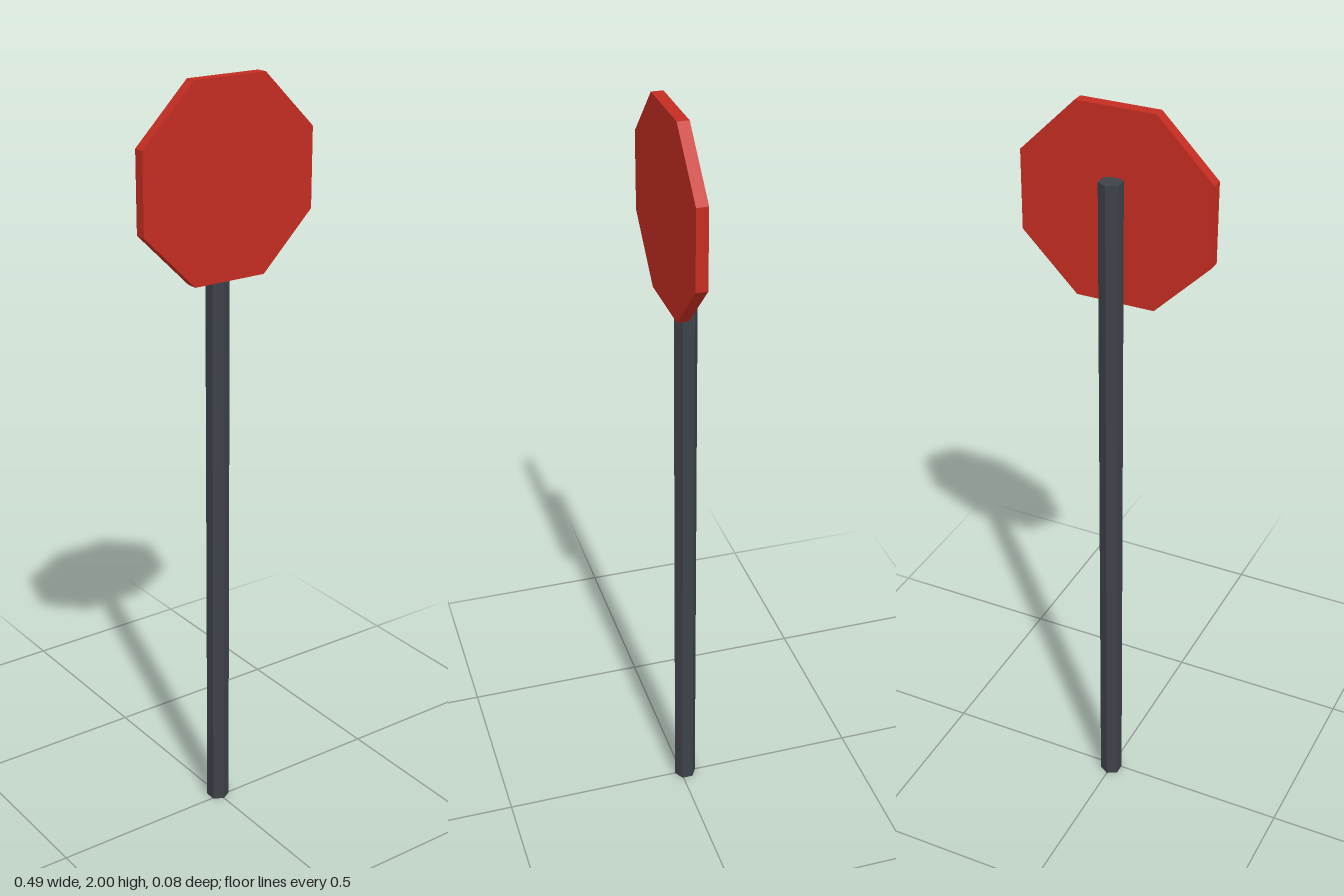
import * as THREE from 'three';

export function createModel() {
  const group = new THREE.Group();
  group.name = 'roadSign';

  const red = new THREE.MeshStandardMaterial({ color: 0xc42c22, flatShading: true });
  red.name = 'sign red';
  const grey = new THREE.MeshStandardMaterial({ color: 0x3d4249, flatShading: true });
  grey.name = 'post grey';

  // Hexagonal post, its front edge sunk into the plate
  const postHeight = 1.83;
  const post = new THREE.Mesh(new THREE.CylinderGeometry(0.03, 0.03, postHeight, 6), grey);
  post.name = 'post';
  post.position.set(0, postHeight / 2, -0.012);
  group.add(post);

  // Octagonal plate with flat sides at top, bottom, left and right
  const apothem = 0.246;
  const plateGeometry = new THREE.CylinderGeometry(
    apothem / Math.cos(Math.PI / 8), apothem / Math.cos(Math.PI / 8), 0.03, 8);
  plateGeometry.rotateY(Math.PI / 8).rotateX(Math.PI / 2);
  const plate = new THREE.Mesh(plateGeometry, red);
  plate.name = 'signPlate';
  plate.position.set(0, 2 - apothem, 0.026);
  group.add(plate);

  return group;
}
